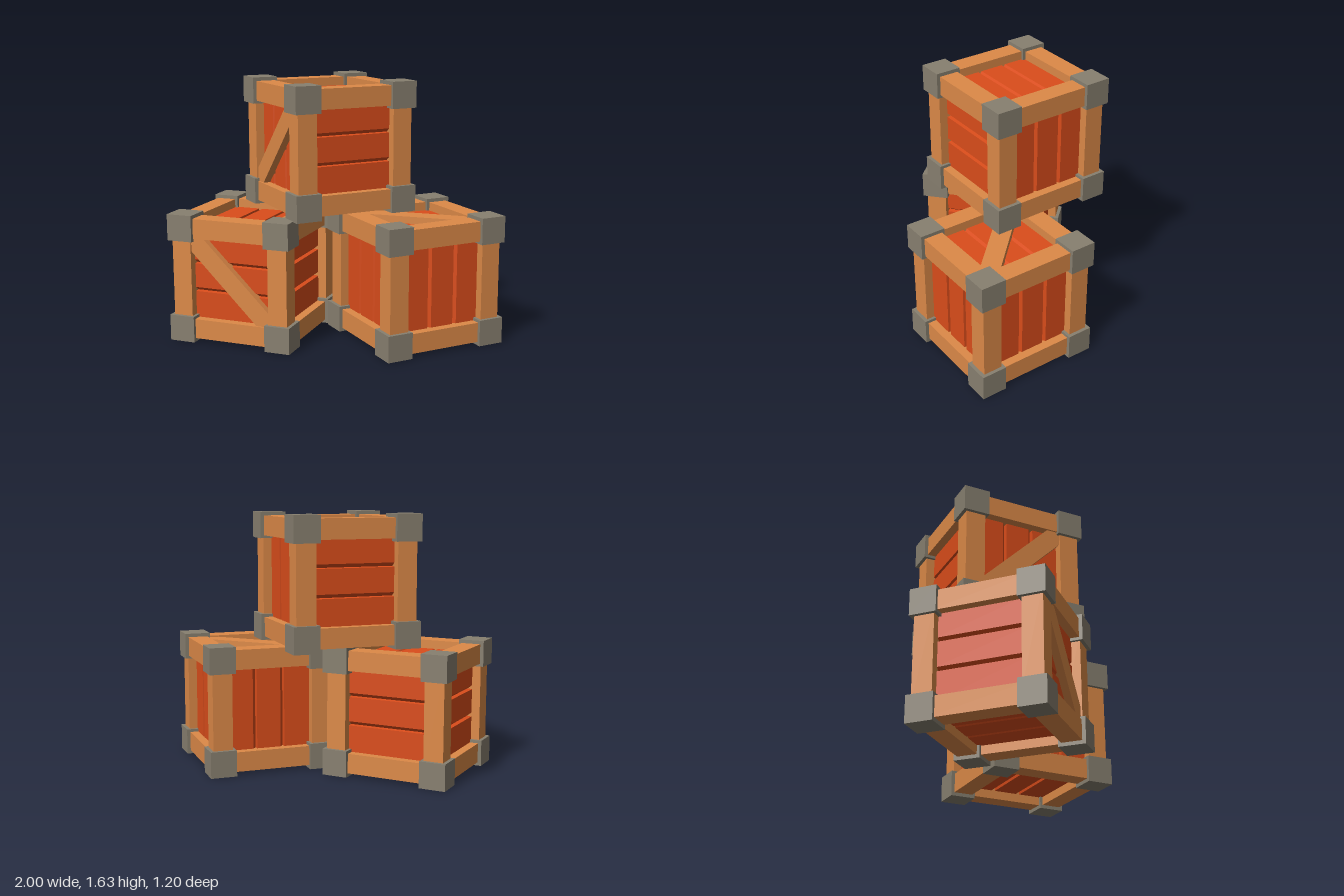
import * as THREE from 'three';

const HALF = 0.4075;   // outer half size of a crate
const BLOCK = 0.166;   // corner block edge
const BEAM = 0.125;    // beam thickness
const BEAM_AT = 0.385 - BEAM / 2;
const PANEL = 0.33;    // distance of the plank surface from the centre
const INNER = 0.275;   // half width of a panel between the beams

const wood = new THREE.MeshStandardMaterial({ color: 0xdd8a48 });
const planks = new THREE.MeshStandardMaterial({ color: 0xdb4d1b });
const iron = new THREE.MeshStandardMaterial({ color: 0x888070 });

function add(parent, name, geometry, material) {
  const mesh = new THREE.Mesh(geometry, material);
  mesh.name = name;
  parent.add(mesh);
  return mesh;
}

// Slab with two grooves on both of its faces: x across, y outward, z along the grooves
function plankSlab() {
  const grooves = [-0.08, 0.1];
  const side = [[-INNER, PANEL]];
  for (const c of grooves) side.push([c - 0.013, PANEL], [c - 0.01, PANEL - 0.03], [c + 0.013, PANEL]);
  side.push([INNER, PANEL]);
  const back = side.map(([u, n]) => [u, -n]).reverse();
  const shape = new THREE.Shape([...side, ...back].map(([u, n]) => new THREE.Vector2(u, n)));
  const geometry = new THREE.ExtrudeGeometry(shape, { depth: 2 * INNER, bevelEnabled: false });
  return geometry.translate(0, 0, -INNER);
}

function createCrate(name) {
  const crate = new THREE.Group();
  crate.name = name;

  // Planked panels, one slab for each pair of opposite faces
  const X = new THREE.Vector3(1, 0, 0), Y = new THREE.Vector3(0, 1, 0), Z = new THREE.Vector3(0, 0, 1);
  const bases = [[Y, Z, X], [Y, X, Z.clone().negate()], [X, Y, Z]];
  for (const basis of bases) {
    const geometry = plankSlab().applyMatrix4(new THREE.Matrix4().makeBasis(...basis));
    add(crate, 'plankPanels', geometry, planks);
  }

  // Twelve edge beams
  for (let axis = 0; axis < 3; axis++) {
    for (const a of [-1, 1]) for (const b of [-1, 1]) {
      const size = [BEAM, BEAM, BEAM];
      size[axis] = 0.6;
      const beam = add(crate, 'edgeBeam', new THREE.BoxGeometry(...size), wood);
      beam.position.setComponent((axis + 1) % 3, a * BEAM_AT);
      beam.position.setComponent((axis + 2) % 3, b * BEAM_AT);
    }
  }

  // Eight corner blocks
  const corner = HALF - BLOCK / 2;
  for (const x of [-1, 1]) for (const y of [-1, 1]) for (const z of [-1, 1]) {
    const block = add(crate, 'cornerBlock', new THREE.BoxGeometry(BLOCK, BLOCK, BLOCK), iron);
    block.position.set(x, y, z).multiplyScalar(corner);
  }

  // Diagonal brace on one face
  const brace = add(crate, 'diagonalBrace', new THREE.BoxGeometry(0.76, 0.12, 0.06), wood);
  brace.position.z = 0.345;
  brace.rotation.z = -Math.PI / 4;
  return crate;
}

export function createModel() {
  const model = new THREE.Group();
  model.name = 'crateStack';
  const quarter = Math.PI / 2;

  // The same crate, rolled onto different sides
  const layout = [
    { name: 'lowerRightCrate', position: [-0.578, HALF, 0.174], turn: [0, -0.045, 0] },
    { name: 'lowerLeftCrate', position: [0.423, HALF, -0.025], turn: [-quarter, Math.PI / 4, 0] },
    { name: 'upperCrate', position: [-0.147, 1.219, -0.022], turn: [0, -Math.PI / 4, quarter] },
  ];
  for (const { name, position, turn } of layout) {
    const crate = createCrate(name);
    crate.position.set(...position);
    crate.rotation.set(...turn, 'YXZ');
    model.add(crate);
  }
  return model;
}
